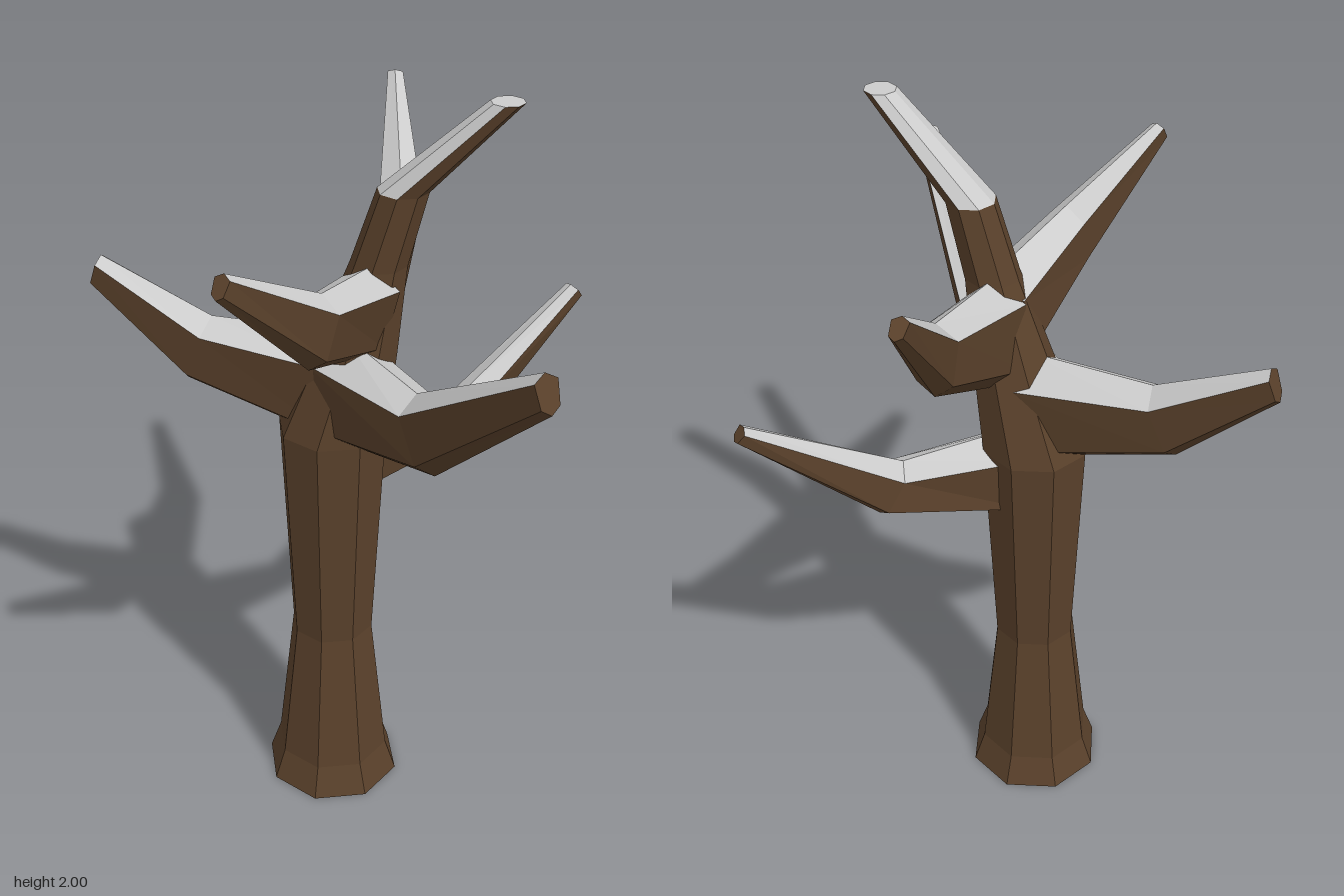
import * as THREE from 'three';

const bark = new THREE.MeshStandardMaterial({ color: 0x5a412b, flatShading: true });
const snow = new THREE.MeshStandardMaterial({ color: 0xcccccc, flatShading: true });
const V = (x, y, z) => new THREE.Vector3(x, y, z);
const mean = (pts) => pts.reduce((s, p) => s.add(p), V(0, 0, 0)).divideScalar(pts.length);

// Skins a list of rings; faces that look upwards become snow, the rest bark.
function skin(name, rings, snowyTip) {
  const bins = { bark: [], snow: [] };
  const addFace = (pts, inner, forced) => {
    const c = mean(pts);
    const n = pts[2].clone().sub(pts[0]).cross(pts[3].clone().sub(pts[1])).normalize();
    if (n.dot(c.sub(inner)) < 0) {
      n.negate();
      pts = pts.slice().reverse();
    }
    const bin = bins[forced || (n.y > 0.37 ? 'snow' : 'bark')];
    for (let i = 1; i < pts.length - 1; i++) {
      for (const p of [pts[0], pts[i], pts[i + 1]]) bin.push(p.x, p.y, p.z);
    }
  };
  for (let r = 0; r < rings.length - 1; r++) {
    const a = rings[r], b = rings[r + 1];
    const inner = mean([...a, ...b]);
    a.forEach((p, i) => {
      const j = (i + 1) % a.length;
      addFace([p, a[j], b[j], b[i]], inner);
    });
  }
  const last = rings.length - 1;
  addFace(rings[0], mean(rings[1]), 'bark');
  addFace(rings[last], mean(rings[last - 1]), snowyTip ? 'snow' : 'bark');

  const group = new THREE.Group();
  group.name = name;
  for (const [key, material] of [['bark', bark], ['snow', snow]]) {
    if (!bins[key].length) continue;
    const geo = new THREE.BufferGeometry();
    geo.setAttribute('position', new THREE.Float32BufferAttribute(bins[key], 3));
    geo.computeVertexNormals();
    const mesh = new THREE.Mesh(geo, material);
    mesh.name = name + (key === 'bark' ? 'Bark' : 'Snow');
    group.add(mesh);
  }
  return group;
}

// Level octagon of the trunk
function octagon([x, y, r]) {
  return Array.from({ length: 8 }, (_, i) => {
    const a = (i * Math.PI) / 4;
    return V(x + r * Math.cos(a), y, 0.04 + r * Math.sin(a));
  });
}

// Branch from stations of [ridge point, keel point, half width], with a six-sided section
function branch(name, stations) {
  const pts = stations.map(([t, b, w]) => ({ t: V(...t), b: V(...b), w }));
  const side = pts[2].t.clone().sub(pts[0].t).setY(0).normalize().cross(V(0, 1, 0));
  const rings = pts.map(({ t, b, w }) => {
    const at = (f, s) => t.clone().lerp(b, f).addScaledVector(side, s * w);
    return [t, at(0.2, 1), at(0.82, 0.8), b, at(0.82, -0.8), at(0.2, -1)];
  });
  return skin(name, rings, false);
}

export function createModel() {
  const tree = new THREE.Group();
  tree.name = 'snowyTree';

  // Flared trunk running up into the bent leader: [centre x, y, radius]
  const trunk = [
    [0, 0, 0.185], [0, 0.09, 0.155], [0, 0.5, 0.11], [0, 1.12, 0.14],
    [0.06, 1.35, 0.105], [0.115, 1.58, 0.07], [0.17, 1.77, 0.062], [0.4, 2, 0.04],
  ];
  tree.add(skin('trunk', trunk.map(octagon), true));

  // Five branches, each rising after an elbow
  tree.add(branch('rightBranch', [
    [[0.03, 1.385, 0.04], [0.02, 1.07, 0.04], 0.095],
    [[-0.31, 1.385, 0.04], [-0.38, 1.2, 0.04], 0.06],
    [[-0.595, 1.515, 0.04], [-0.625, 1.43, 0.04], 0.03],
  ]));
  tree.add(branch('frontLeftBranch', [
    [[0.03, 1.385, 0.05], [0, 1.07, 0.03], 0.095],
    [[0.265, 1.375, 0.27], [0.33, 1.21, 0.35], 0.06],
    [[0.59, 1.645, 0.585], [0.615, 1.565, 0.615], 0.03],
  ]));
  tree.add(branch('backLeftBranch', [
    [[0.05, 1.16, 0.02], [0.03, 0.9, 0.02], 0.08],
    [[0.27, 1.11, -0.17], [0.3, 0.99, -0.25], 0.055],
    [[0.515, 1.335, -0.475], [0.535, 1.3, -0.495], 0.025],
  ]));
  tree.add(branch('upperBackBranch', [
    [[0.1, 1.585, 0.02], [0.08, 1.28, 0.02], 0.075],
    [[0.09, 1.635, -0.29], [0.08, 1.46, -0.325], 0.055],
    [[0, 1.84, -0.58], [-0.005, 1.805, -0.625], 0.02],
  ]));
  tree.add(branch('upperFrontBranch', [
    [[0.11, 1.585, 0.06], [0.07, 1.32, 0.04], 0.08],
    [[0.06, 1.635, 0.34], [0.04, 1.46, 0.38], 0.055],
    [[-0.075, 1.78, 0.59], [-0.085, 1.73, 0.62], 0.02],
  ]));

  return tree;
}
